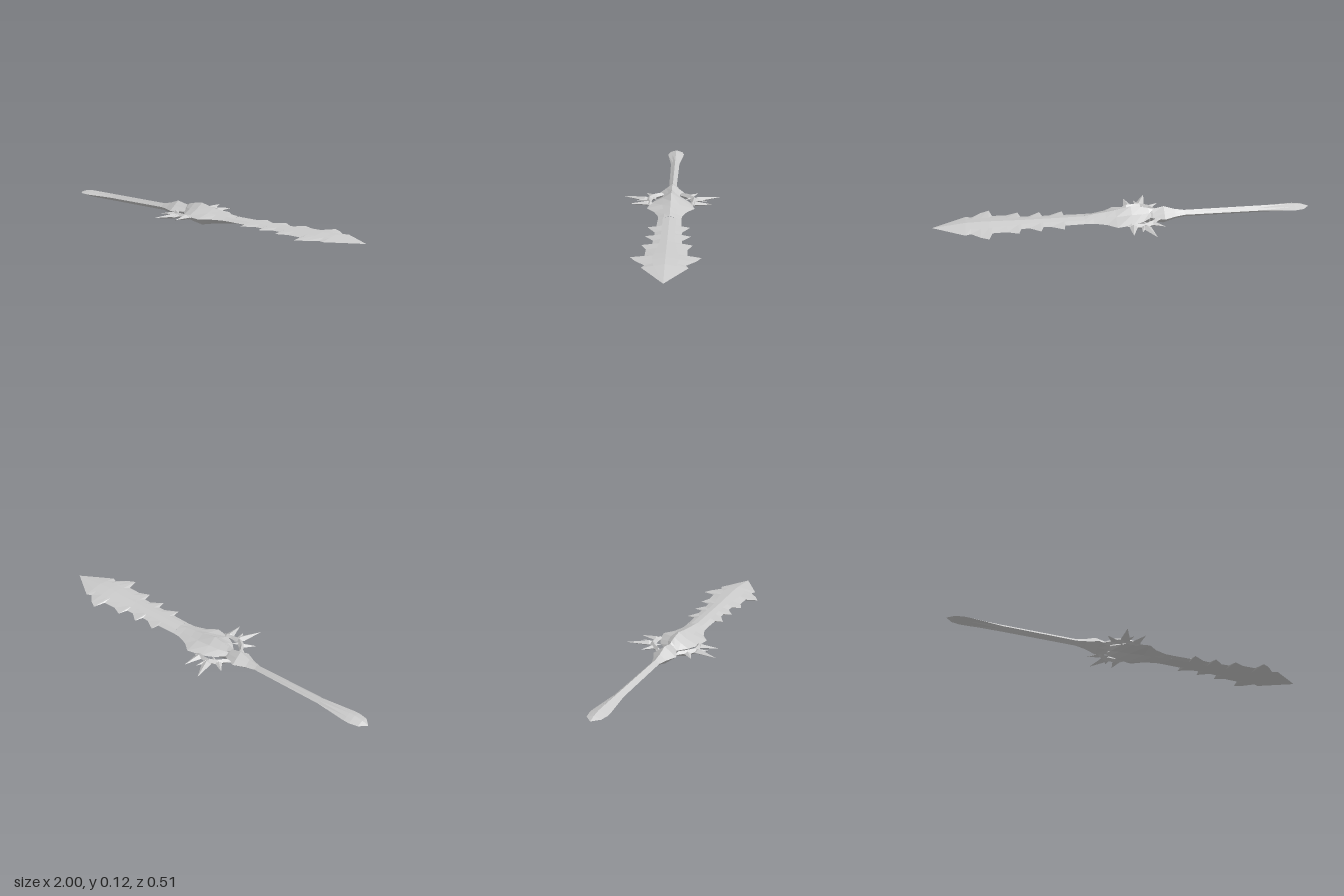
import * as THREE from 'three';

const steel = new THREE.MeshStandardMaterial({ color: 0xcccccc });
steel.name = 'pale steel';
steel.flatShading = true;

// Loft eight-point sections along x.
// Station: [x, half width, half height, shoulder z, shoulder height, centre z]
function loft(stations) {
  const pos = [], idx = [];
  for (const [x, w, h, m = w / 2, hm = h / 2, c = 0] of stations) {
    const ring = [[h, 0], [hm, m], [0, w], [-hm, m], [-h, 0], [-hm, -m], [0, -w], [hm, -m]];
    for (const [y, z] of ring) pos.push(x, y, z + c);
  }
  for (let i = 0; i < stations.length - 1; i++) {
    for (let j = 0; j < 8; j++) {
      const a = i * 8 + j, b = i * 8 + (j + 1) % 8;
      idx.push(a, b, a + 8, b, b + 8, a + 8);
    }
  }
  const g = new THREE.BufferGeometry();
  g.setAttribute('position', new THREE.Float32BufferAttribute(pos, 3));
  g.setIndex(idx);
  const flat = g.toNonIndexed();
  flat.computeVertexNormals();
  return flat;
}

function part(name, geometry, parent) {
  const mesh = new THREE.Mesh(geometry, steel);
  mesh.name = name;
  parent.add(mesh);
  return mesh;
}

export function createModel() {
  const sword = new THREE.Group();
  sword.name = 'sword';
  const body = new THREE.Group();
  body.name = 'swordBody';
  body.position.y = 0.06;
  sword.add(body);

  // Grip with a leaf-shaped pommel and a flared collar
  part('handle', loft([
    [-1, 0, 0], [-0.965, 0.037, 0.012], [-0.92, 0.047, 0.018], [-0.89, 0.046, 0.019],
    [-0.72, 0.025, 0.019], [-0.32, 0.021, 0.019], [-0.27, 0.036, 0.028],
    [-0.21, 0.064, 0.048], [-0.15, 0.04, 0.036], [-0.08, 0, 0.02],
  ]), body);

  // Thick raised hub at the root of the blade
  part('bladeHub', loft([
    [-0.16, 0, 0.034], [-0.13, 0.04, 0.042, 0.02, 0.021], [-0.09, 0.078, 0.051, 0.036, 0.025],
    [-0.035, 0.108, 0.059, 0.045, 0.029], [0.048, 0.125, 0.042, 0.045, 0.022],
    [0.1, 0.085, 0.033, 0.038, 0.018], [0.165, 0.062, 0.025, 0.03, 0.014],
    [0.21, 0.06, 0.018, 0.03, 0.011],
  ]), body);

  // Serrated blade: the rim carries the teeth, the ridge stays straight
  const rim = [
    [0.21, 0.06], [0.315, 0.063], [0.322, 0.106], [0.39, 0.068], [0.428, 0.066],
    [0.442, 0.113], [0.5, 0.07], [0.542, 0.072], [0.556, 0.123], [0.615, 0.098],
    [0.69, 0.1], [0.707, 0.166], [0.75, 0.142], [0.8, 0.095], [0.828, 0.108],
  ];
  part('blade', loft([
    ...rim.map(([x, w]) => {
      const swell = Math.max(0, 1 - Math.abs(x - 0.74) / 0.22);
      return [x, w, 0.016 + 0.004 * swell, 0.034 + 0.03 * swell, 0.01];
    }),
    [1, 0, 0],
  ]), body);

  // Curved guard arm and its thorns, mirrored on both sides
  const thorns = [ // base x, base z, tip x, tip z, radius
    [-0.095, 0.125, -0.14, 0.256, 0.024],
    [-0.035, 0.115, -0.022, 0.222, 0.022],
    [-0.14, 0.095, -0.2, 0.142, 0.018],
    [-0.16, 0.06, -0.208, 0.038, 0.014],
    [-0.09, 0.125, -0.072, 0.19, 0.015],
    [-0.05, 0.115, 0.002, 0.122, 0.015],
    [-0.12, 0.105, -0.085, 0.07, 0.012],
  ];
  for (const s of [1, -1]) {
    const guard = new THREE.Group();
    guard.name = s > 0 ? 'frontGuard' : 'backGuard';
    body.add(guard);
    const spine = [
      [-0.19, 0, 0, 0.045], [-0.165, 0.018, 0.014, 0.058], [-0.14, 0.022, 0.016, 0.092],
      [-0.1, 0.018, 0.015, 0.12], [-0.055, 0.013, 0.013, 0.118], [-0.025, 0.016, 0.013, 0.112],
      [0, 0, 0, 0.115],
    ];
    part('guardArm', loft(spine.map(([x, w, h, c]) => [x, w, h, w / 2, h / 2, s * c])), guard);
    thorns.forEach(([bx, bz, tx, tz, r]) => {
      const length = Math.hypot(tx - bx, tz - bz);
      const thorn = part('guardThorn', loft([
        [-0.2 * length, 0, 0], [0.12 * length, r, r * 0.6], [length, 0, 0],
      ]), guard);
      thorn.position.set(bx, 0, s * bz);
      thorn.rotation.y = -Math.atan2(s * (tz - bz), tx - bx);
    });
  }
  return sword;
}
